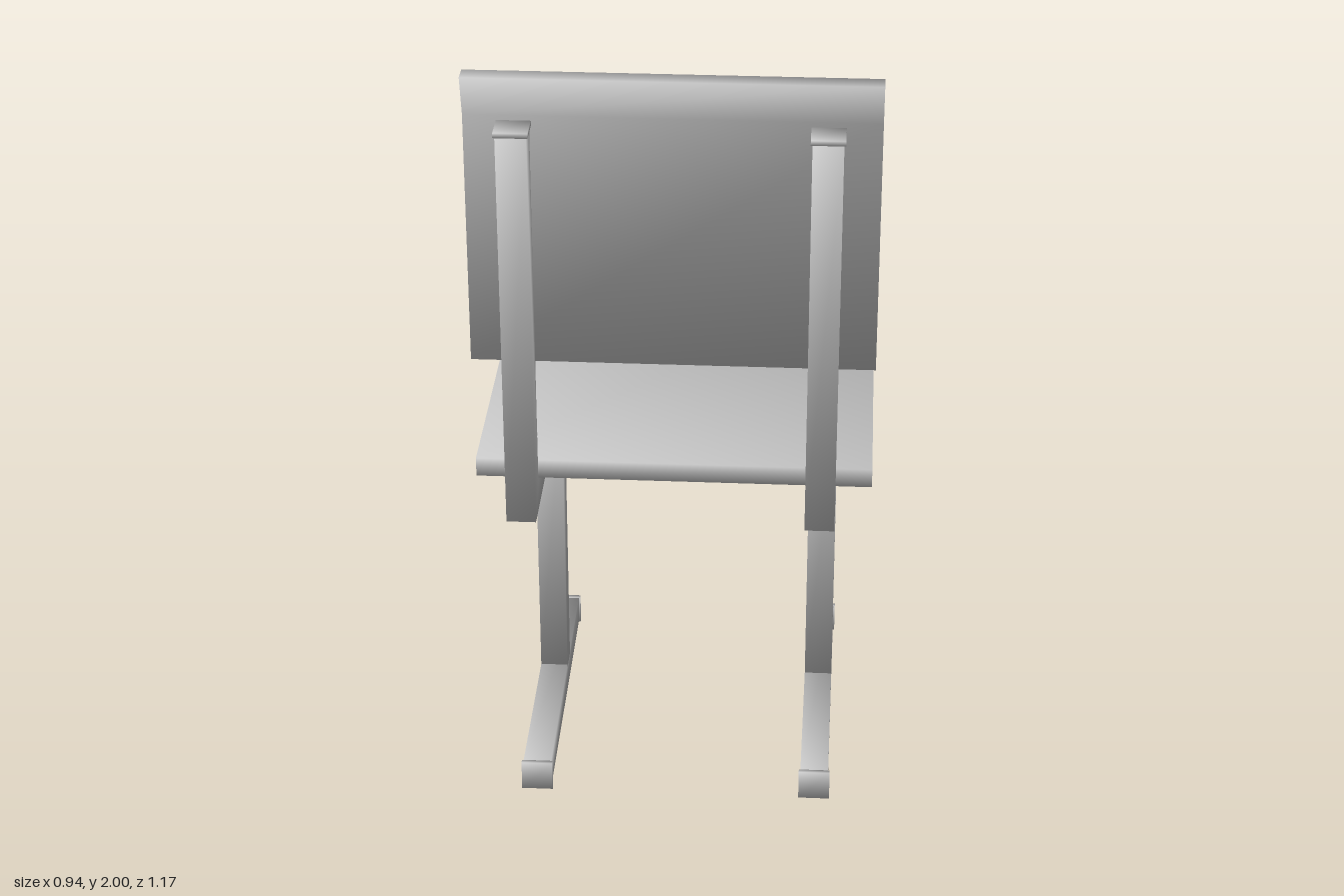
import * as THREE from 'three';
import { mergeVertices } from 'three/addons/utils/BufferGeometryUtils.js';

const material = new THREE.MeshStandardMaterial({ color: 0xcccccc });

function add(parent, name, geometry, x = 0, y = 0, z = 0) {
  const mesh = new THREE.Mesh(geometry, material);
  mesh.name = name;
  mesh.position.set(x, y, z);
  parent.add(mesh);
  return mesh;
}

// Welds all corners and shades across them, weighting each face by its corner angle
function soften(geometry) {
  geometry.deleteAttribute('normal');
  geometry.deleteAttribute('uv');
  const welded = mergeVertices(geometry);
  const { position } = welded.attributes;
  const sums = Array.from({ length: position.count }, () => new THREE.Vector3());
  const index = welded.index.array;
  for (let i = 0; i < index.length; i += 3) {
    const ids = [index[i], index[i + 1], index[i + 2]];
    const corners = ids.map((id) => new THREE.Vector3().fromBufferAttribute(position, id));
    const normal = new THREE.Triangle(...corners).getNormal(new THREE.Vector3());
    ids.forEach((id, k) => {
      const toNext = corners[(k + 1) % 3].clone().sub(corners[k]);
      const toLast = corners[(k + 2) % 3].clone().sub(corners[k]);
      sums[id].addScaledVector(normal, toNext.angleTo(toLast));
    });
  }
  const normals = sums.flatMap((sum) => sum.normalize().toArray());
  welded.setAttribute('normal', new THREE.Float32BufferAttribute(normals, 3));
  return welded;
}

const softBox = (w, h, d) => soften(new THREE.BoxGeometry(w, h, d));

// Extrudes a side profile of [z, y] points across x, centred on x = 0
function sideProfile(points, width) {
  const shape = new THREE.Shape(points.map(([z, y]) => new THREE.Vector2(-z, y)));
  const geometry = new THREE.ExtrudeGeometry(shape, { depth: width, bevelEnabled: false });
  return soften(geometry.translate(0, 0, -width / 2).rotateY(Math.PI / 2));
}

// Shallow dome standing on y = 0
function boltHead(radius, height) {
  const geometry = new THREE.SphereGeometry(radius, 16, 6, 0, Math.PI * 2, 0, Math.PI / 2);
  return geometry.scale(1, height / radius, 1);
}

export function createModel() {
  const chair = new THREE.Group();
  chair.name = 'chair';
  const tube = 0.07, cap = 0.078, capDepth = 0.012;

  // Bent boards
  add(chair, 'seat', sideProfile([
    [0.493, 0.963], [0.493, 1.01], [-0.49, 1.01], [-0.587, 0.98], [-0.587, 0.937], [-0.478, 0.963],
  ], 0.937), -0.001);
  add(chair, 'backrest', sideProfile([
    [0.512, 1.285], [0.512, 1.9], [0.542, 2.0], [0.495, 2.0], [0.467, 1.91], [0.467, 1.285],
  ], 0.937), -0.001);

  // Two identical side frames
  for (const [side, x] of [['right', -0.355], ['left', 0.347]]) {
    const frame = new THREE.Group();
    frame.name = side + 'Frame';
    frame.position.x = x;
    chair.add(frame);

    // L-shaped post and seat rail
    add(frame, 'postAndRail', sideProfile([
      [0.582, 0.892], [0.582, 1.88], [0.512, 1.88], [0.512, 0.963], [-0.385, 0.963], [-0.385, 0.892],
    ], tube));
    add(frame, 'postCap', softBox(cap, capDepth, cap), 0, 1.882, 0.547);
    add(frame, 'railCap', softBox(cap, cap, capDepth), 0, 0.927, -0.387);

    // Leg and foot
    add(frame, 'leg', softBox(tube, 0.83, tube), 0, 0.482, -0.084);
    add(frame, 'foot', softBox(tube, tube, 0.79), 0, 0.041, 0.007);
    for (const z of [0.401, -0.387]) {
      add(frame, 'footCap', softBox(cap, cap, capDepth), 0, cap / 2, z);
    }

    // Bolt heads on the seat and the backrest
    for (const z of [0.37, -0.34]) {
      add(frame, 'seatBolt', boltHead(0.02, 0.008), 0, 1.01, z);
    }
    for (const [y, radius] of [[1.845, 0.016], [1.365, 0.02]]) {
      add(frame, 'backrestBolt', boltHead(radius, radius * 0.4), 0, y, 0.467).rotation.x = -Math.PI / 2;
    }
  }
  return chair;
}
